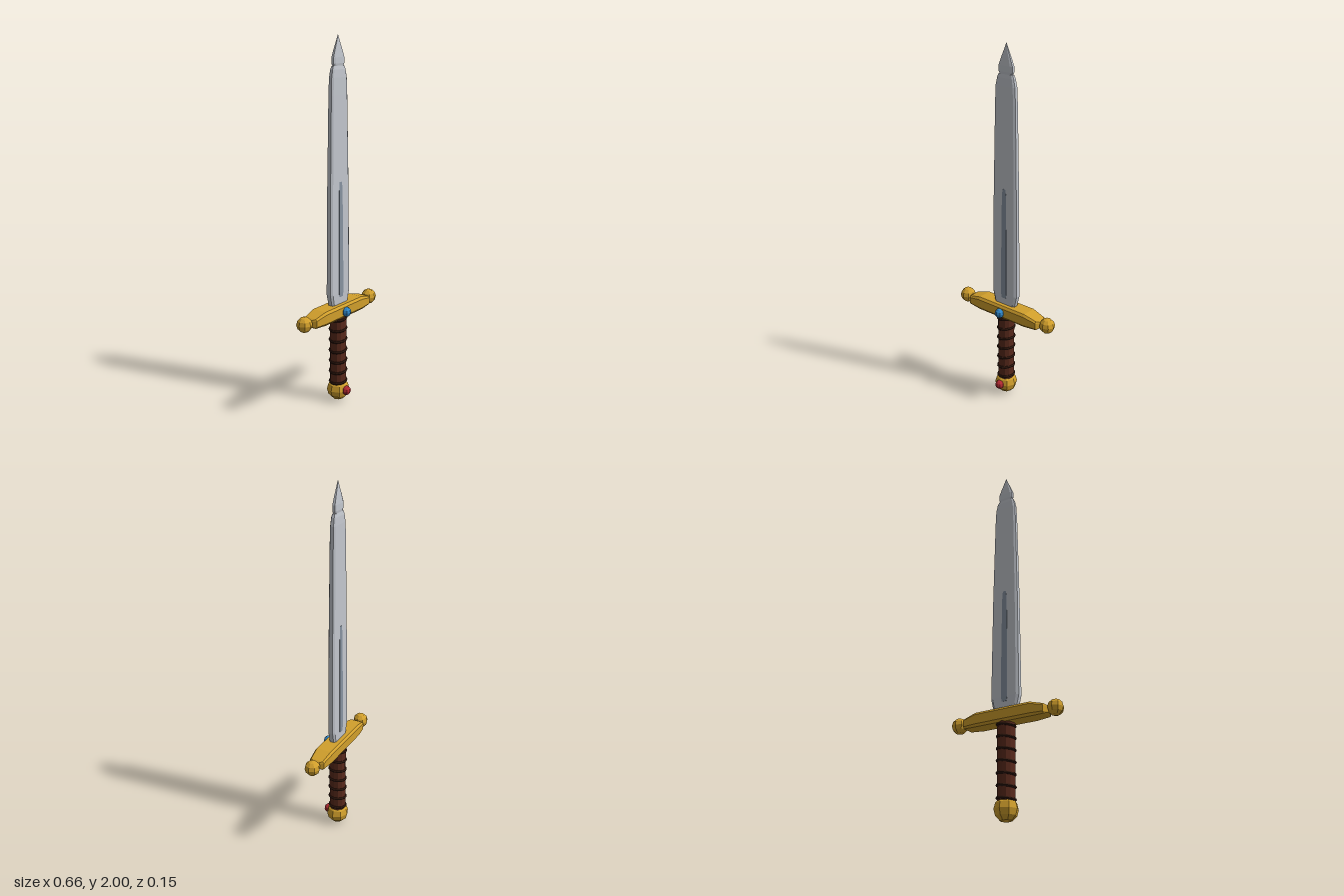
import * as THREE from 'three';

const mat = (name, color) => new THREE.MeshStandardMaterial({ name, color, flatShading: true });

// Eight-sided bevelled rectangle, counterclockwise in (u, v)
function bevelled(w, d, bw, bd) {
  const a = w - bw, b = d - bd;
  return [[w, b], [a, d], [-a, d], [-w, b], [-w, -b], [-a, -d], [a, -d], [w, -b]];
}

// Skin a series of equal-length rings and close both ends
function loft(rings) {
  const n = rings[0].length, last = (rings.length - 1) * n, index = [];
  for (let i = 0; i < rings.length - 1; i++) {
    for (let j = 0; j < n; j++) {
      const k = (j + 1) % n, a = i * n + j, b = i * n + k;
      index.push(a, b, b + n, a, b + n, a + n);
    }
  }
  for (let j = 1; j < n - 1; j++) {
    index.push(0, j + 1, j, last, last + j, last + j + 1);
  }
  const geo = new THREE.BufferGeometry();
  geo.setAttribute('position', new THREE.Float32BufferAttribute(rings.flat(2), 3));
  geo.setIndex(index);
  geo.computeVertexNormals();
  return geo;
}

// Upright solid from rows of [y, half width, half depth]
const upright = (rows, bevelW, bevelD) => loft(rows.map(([y, w, d]) =>
  bevelled(w, d, w * bevelW, d * bevelD).map(([u, v]) => [u, y, -v])));

export function createModel() {
  const steel = mat('steel', 0xc3c7ce);
  const slate = mat('fullerSteel', 0x8793a1);
  const gold = mat('gold', 0xd2a02c);
  const leather = mat('leather', 0x5a2a1c);
  const cord = mat('darkCord', 0x321a10);
  const blue = mat('blueGem', 0x2f86c9);
  const red = mat('redGem', 0xb32a32);

  const group = new THREE.Group();
  const sword = new THREE.Group();
  sword.name = 'sword';
  sword.position.z = -0.013;
  group.add(sword);
  const add = (name, geo, material, x = 0, y = 0, z = 0) => {
    const mesh = new THREE.Mesh(geo, material);
    mesh.name = name;
    mesh.position.set(x, y, z);
    sword.add(mesh);
    return mesh;
  };

  // Blade and leaf-shaped tip
  add('blade', upright([
    [0.56, 0.062, 0.018], [0.585, 0.07, 0.02], [0.64, 0.083, 0.021], [1.2, 0.077, 0.019],
    [1.7, 0.066, 0.016], [1.79, 0.062, 0.015], [1.83, 0.053, 0.013], [1.848, 0.045, 0.01],
  ], 0.16, 0.4), steel);
  add('bladeTip', upright([
    [1.842, 0.034, 0.009], [1.86, 0.044, 0.012], [1.89, 0.044, 0.012],
    [1.93, 0.029, 0.009], [1.97, 0.012, 0.005], [2.0, 0.001, 0.001],
  ], 0.3, 0.4), steel);

  // Fuller strip showing on both faces
  add('fuller', upright([
    [0.615, 0.014, 0.0225], [0.64, 0.018, 0.0235], [0.93, 0.017, 0.0225],
    [1.2, 0.014, 0.0205], [1.25, 0.01, 0.02],
  ], 0.15, 0.03), slate);

  // Crossguard: [x, bottom, top, half depth], tapering at both ends
  const half = [[0.16, 0.5, 0.576, 0.052], [0.235, 0.504, 0.556, 0.043], [0.252, 0.515, 0.545, 0.008]];
  const rows = [...half.map(([x, ...r]) => [-x, ...r]).reverse(), ...half];
  add('crossguard', loft(rows.map(([x, lo, hi, d]) => {
    const h = (hi - lo) / 2;
    return bevelled(h, d, h * 0.35, d * 0.2).map(([u, v]) => [x, u + (lo + hi) / 2, v]);
  })), gold);
  for (const s of [-1, 1]) {
    add(s > 0 ? 'leftGuardBall' : 'rightGuardBall',
      new THREE.SphereGeometry(0.043, 8, 6), gold, s * 0.285, 0.535, 0);
  }

  // Grip with slanted cord bindings
  add('grip', new THREE.CylinderGeometry(0.046, 0.045, 0.4, 12), leather, 0, 0.305, 0);
  for (let i = 0; i < 7; i++) {
    const ring = add('gripBinding', new THREE.TorusGeometry(0.045, 0.008, 6, 14), cord, 0, 0.118 + i * 0.062, 0);
    ring.rotation.set(Math.PI / 2, 0.14, 0);
  }

  // Pommel and front gems
  add('pommel', new THREE.SphereGeometry(0.063, 8, 6), gold, 0, 0.067, 0);
  add('guardGem', new THREE.SphereGeometry(0.027, 8, 6), blue, 0, 0.535, 0.058);
  add('pommelGem', new THREE.SphereGeometry(0.026, 8, 6), red, 0, 0.07, 0.058);

  return group;
}
